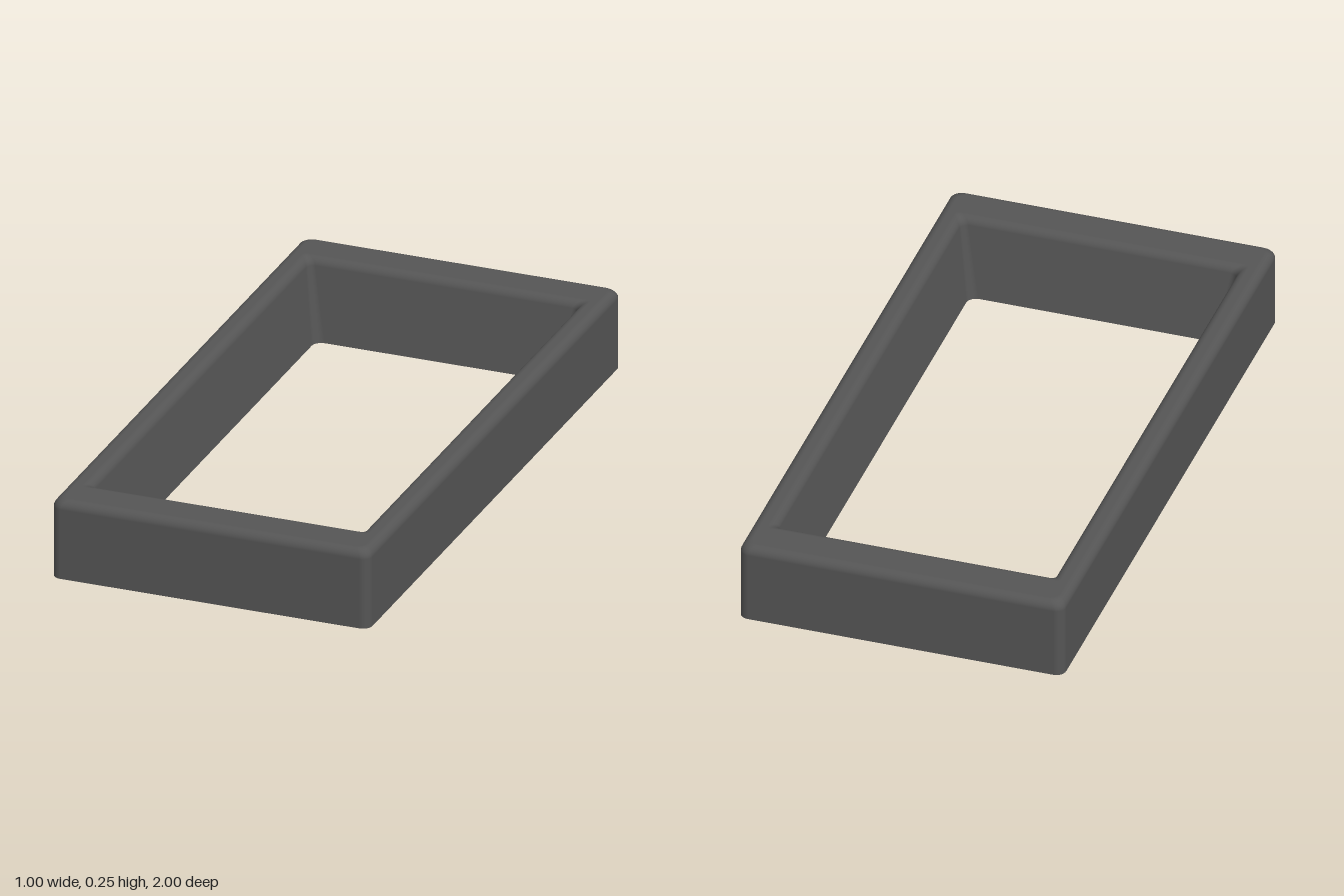
import * as THREE from 'three';

const HEIGHT = 0.25, FILLET = 0.028, STEPS = 6;

// One section of the frame: half sizes, corner radius, height, and profile normal (outward, up)
const section = (hx, hz, r, y, n, up) => ({ hx, hz, r, y, n, up });
const outer = (inset, y, n, up) => section(0.5 - inset, 1 - inset, 0.03, y, n, up);
const inner = (flare, y, n, up) => section(0.39 + flare, 0.82 + flare, 0.03 - flare * 0.25, y, n, up);

// Profile from the outer foot, over the rounded rim, down the sloping inner wall
function frameSections() {
  const list = [outer(0, 0, 1, 0)];
  const base = HEIGHT - FILLET, flare = 0.035;
  const tilt = Math.atan2(flare, base);
  for (let i = 0; i <= STEPS; i++) {
    const a = (i / STEPS) * Math.PI / 2;
    list.push(outer(FILLET * (1 - Math.cos(a)), base + FILLET * Math.sin(a), Math.cos(a), Math.sin(a)));
  }
  for (let i = 0; i <= STEPS; i++) {
    const a = Math.PI / 2 + (i / STEPS) * (Math.PI / 2 - tilt);
    list.push(inner(flare + FILLET * (1 + Math.cos(a)), base + FILLET * Math.sin(a), Math.cos(a), Math.sin(a)));
  }
  list.push(inner(0, 0, -Math.cos(tilt), Math.sin(tilt)));
  // Flat underside with its own normals, so its edges stay sharp
  list.push(inner(0, 0, 0, -1), outer(0, 0, 0, -1));
  return list;
}

// Sweep the sections around a rounded rectangle
function loftFrame(sections) {
  const position = [], normal = [], index = [];
  const ring = 4 * (STEPS + 1);
  for (const s of sections) {
    for (let c = 0; c < 4; c++) {
      const sx = c === 0 || c === 3 ? 1 : -1, sz = c < 2 ? 1 : -1;
      for (let k = 0; k <= STEPS; k++) {
        const a = (c + k / STEPS) * Math.PI / 2;
        const cos = Math.cos(a), sin = Math.sin(a);
        position.push(sx * (s.hx - s.r) + s.r * cos, s.y, sz * (s.hz - s.r) + s.r * sin);
        normal.push(s.n * cos, s.up, s.n * sin);
      }
    }
  }
  for (let i = 0; i < sections.length - 1; i++) {
    for (let j = 0; j < ring; j++) {
      const k = (j + 1) % ring;
      const a = i * ring + j, b = a + ring, c = i * ring + k, d = c + ring;
      index.push(a, b, c, b, d, c);
    }
  }
  const geometry = new THREE.BufferGeometry();
  geometry.setAttribute('position', new THREE.Float32BufferAttribute(position, 3));
  geometry.setAttribute('normal', new THREE.Float32BufferAttribute(normal, 3));
  geometry.setIndex(index);
  return geometry;
}

export function createModel() {
  const group = new THREE.Group();
  group.name = 'rectangularFrame';
  const frame = new THREE.Mesh(
    loftFrame(frameSections()),
    new THREE.MeshStandardMaterial({ color: 0x555555 })
  );
  frame.name = 'frame';
  group.add(frame);
  return group;
}
